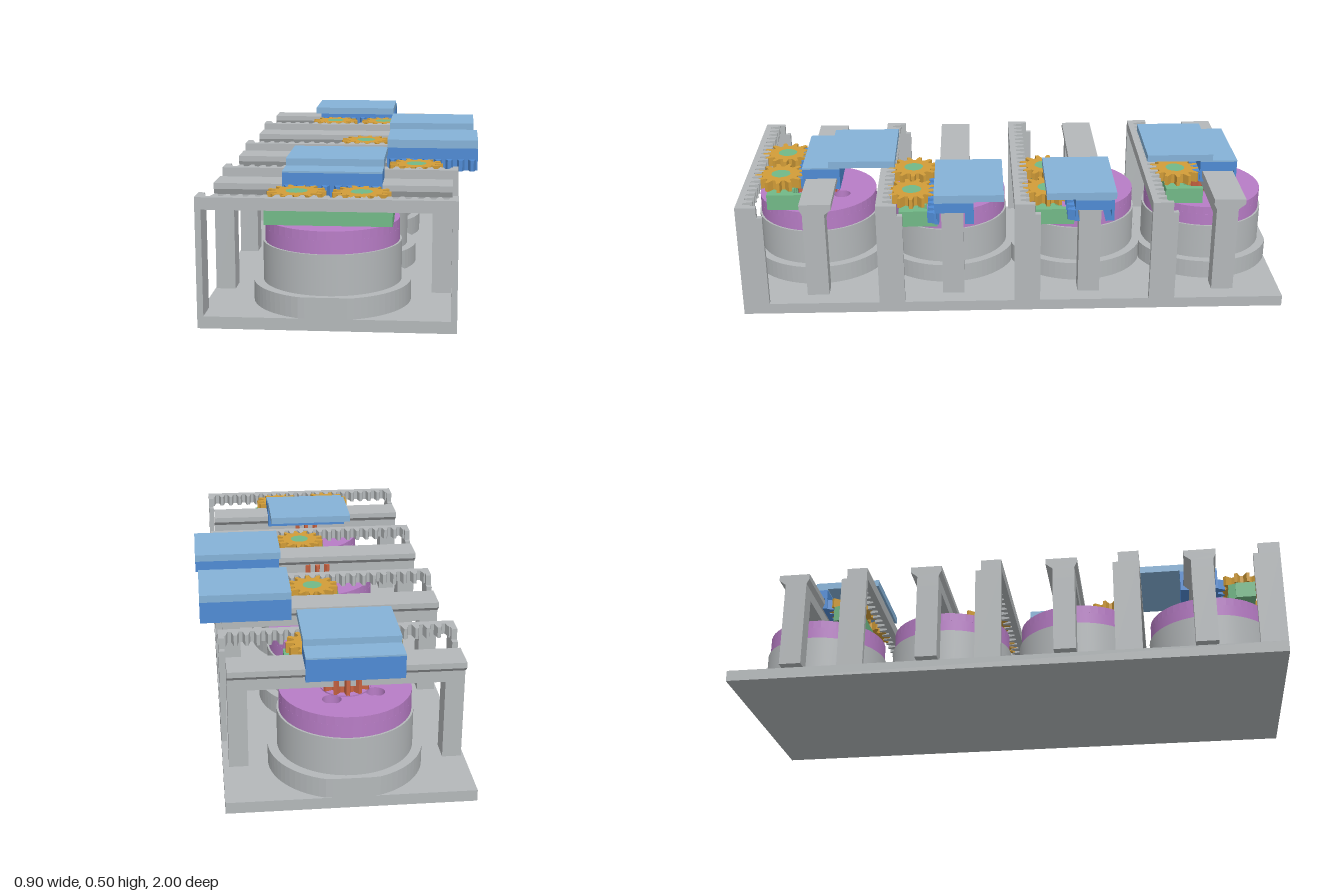
import * as THREE from 'three';

const mat = (name, color) => {
  const m = new THREE.MeshStandardMaterial({ color });
  m.name = name;
  return m;
};

export function createModel() {
  const gray = mat('frame gray', 0xb4b8ba);
  const purple = mat('rotor purple', 0xb87dc6);
  const green = mat('slider green', 0x72b987);
  const gold = mat('gear gold', 0xd29d38);
  const red = mat('pinion red', 0xca6442);
  const blue = mat('carriage blue', 0x4f8bd4);
  const light = mat('plate light blue', 0x85b2d8);

  const root = new THREE.Group();
  root.name = 'rackMechanism';

  const add = (parent, name, geo, material) => {
    const m = new THREE.Mesh(geo, material);
    m.name = name;
    parent.add(m);
    return m;
  };
  // box given by its limits
  const box = (parent, name, material, x0, x1, y0, y1, z0, z1) =>
    add(parent, name, new THREE.BoxGeometry(x1 - x0, y1 - y0, z1 - z0)
      .translate((x0 + x1) / 2, (y0 + y1) / 2, (z0 + z1) / 2), material);
  const outline = (pts) => new THREE.Shape(pts.map(([a, b]) => new THREE.Vector2(a, -b)));
  // outline in x,z raised from y0 to y1
  const slab = (shape, y0, y1) =>
    new THREE.ExtrudeGeometry(shape, { depth: y1 - y0, bevelEnabled: false, curveSegments: 24 })
      .rotateX(-Math.PI / 2).translate(0, y0, 0);
  // z,y profile swept from x0 to x1
  const sweep = (pts, x0, x1) =>
    new THREE.ExtrudeGeometry(new THREE.Shape(pts.map(([z, y]) => new THREE.Vector2(-z, y))),
      { depth: x1 - x0, bevelEnabled: false }).rotateY(Math.PI / 2).translate(x0, 0, 0);
  const hole = (x, z, r) => new THREE.Path().absarc(x, -z, r, 0, Math.PI * 2, true);

  // toothed wheel outline
  const gearShape = (n, rRoot, rTip, bore) => {
    const pts = [];
    for (let i = 0; i < n; i++) {
      for (const [f, r] of [[-0.32, rRoot], [-0.13, rTip], [0.13, rTip], [0.32, rRoot]]) {
        const a = ((i + f) / n) * Math.PI * 2;
        pts.push([r * Math.cos(a), r * Math.sin(a)]);
      }
    }
    const s = outline(pts);
    if (bore) s.holes.push(hole(0, 0, bore));
    return s;
  };
  // toothed bar outline: flat edge at zBack, roots and tips on the other side
  const rackShape = (x0, x1, zBack, zRoot, zTip, pitch = 0.04) => {
    const n = Math.round((x1 - x0) / pitch), p = (x1 - x0) / n;
    const pts = [[x0, zBack], [x0, zRoot]];
    for (let i = 0; i < n; i++) {
      const x = x0 + i * p;
      pts.push([x + p * 0.16, zRoot], [x + p * 0.36, zTip], [x + p * 0.64, zTip], [x + p * 0.84, zRoot]);
    }
    pts.push([x1, zRoot], [x1, zBack]);
    return outline(pts);
  };

  const CX = -0.037; // motor axis
  box(root, 'basePlate', gray, -0.45, 0.38, 0, 0.04, -1, 1);

  const buildUnit = (index, shift, plateZ) => {
    const unit = new THREE.Group();
    unit.name = 'unit' + (index + 1);
    unit.position.z = -0.75 + index * 0.5;
    root.add(unit);

    // motor: flange trimmed to the bay, body and rotor with recessed holes
    const ring = Array.from({ length: 72 }, (_, i) => {
      const a = (i / 72) * Math.PI * 2;
      return [CX + 0.263 * Math.cos(a), THREE.MathUtils.clamp(0.263 * Math.sin(a), -0.25, 0.25)];
    });
    add(unit, 'motorFlange', slab(outline(ring), 0.035, 0.11), gray);
    add(unit, 'motorBody', new THREE.CylinderGeometry(0.231, 0.231, 0.145, 64)
      .translate(CX, 0.1725, 0), gray);
    add(unit, 'rotorBase', new THREE.CylinderGeometry(0.224, 0.224, 0.045, 64)
      .translate(CX, 0.2675, 0), purple);
    const disc = new THREE.Shape().absarc(CX, 0, 0.224, 0, Math.PI * 2, false);
    for (let i = 0; i < 4; i++) {
      const a = -Math.PI / 3 + (i * Math.PI) / 2;
      disc.holes.push(hole(CX + 0.11 * Math.cos(a), 0.11 * Math.sin(a), 0.032));
    }
    add(unit, 'rotorTop', slab(disc, 0.29, 0.32), purple);
    add(unit, 'pinionSeat', new THREE.CylinderGeometry(0.085, 0.085, 0.006, 32)
      .translate(CX, 0.322, 0), purple);
    add(unit, 'pinion', slab(gearShape(12, 0.062, 0.085), 0.324, 0.388), red).position.x = CX;

    // fixed rack on its portal frame
    for (const x of [-0.45, 0.36]) box(unit, 'framePost', gray, x, x + 0.02, 0.04, 0.39, 0.155, 0.25);
    for (const x of [-0.45, 0.36]) box(unit, 'rackEnd', gray, x, x + 0.02, 0.39, 0.43, 0.175, 0.25);
    add(unit, 'fixedRack', slab(rackShape(-0.45, 0.38, 0.25, 0.227, 0.194), 0.39, 0.43), gray);

    // guide bridge with flared rail
    for (const x of [-0.43, 0.295]) box(unit, 'bridgeLeg', gray, x, x + 0.065, 0.065, 0.36, -0.065, 0.015);
    add(unit, 'bridgeRail', sweep([[-0.065, 0.35], [0.015, 0.35], [0.015, 0.39], [0.025, 0.41], [0.025, 0.43],
      [-0.09, 0.43], [-0.09, 0.41], [-0.065, 0.39]], -0.43, 0.36), gray);

    // sliding gear holder
    const slider = new THREE.Group();
    slider.name = 'gearSlider';
    slider.position.x = CX + shift / 2;
    unit.add(slider);
    add(slider, 'sliderRack', slab(rackShape(-0.207, 0.207, 0.17, 0.098, 0.072), 0.325, 0.385), green);
    box(slider, 'sliderStop', green, 0.185, 0.207, 0.325, 0.385, 0.03, 0.1);
    for (const x of [-0.105, 0.105]) {
      add(slider, 'gearHub', new THREE.CylinderGeometry(0.036, 0.036, 0.046, 32)
        .translate(x, 0.407, 0.125), green);
      add(slider, 'gear', slab(gearShape(13, 0.069, 0.096, 0.035), 0.393, 0.43), gold)
        .position.set(x, 0, 0.125);
    }

    // carriage riding on the rail, with a rack and a top plate
    const carriage = new THREE.Group();
    carriage.name = 'carriage';
    carriage.position.x = CX + shift;
    unit.add(carriage);
    add(carriage, 'carriageBody', sweep([[-0.103, 0.39], [-0.072, 0.39], [-0.093, 0.41], [-0.093, 0.433],
      [0.028, 0.433], [0.028, 0.41], [0.02, 0.39], [0.036, 0.39], [0.036, 0.47], [-0.103, 0.47]],
    -0.165, 0.165), blue);
    add(carriage, 'carriageRack', slab(rackShape(-0.165, 0.165, 0.03, 0.037, 0.062), 0.39, 0.43), blue);
    box(carriage, 'carriageCap', light, -0.165, 0.165, 0.47, 0.476, -0.103, 0.036);
    box(carriage, 'topPlate', light, -0.165, 0.165, 0.474, 0.5, plateZ, plateZ + 0.248);
  };

  // back to front: carriage travel and plate offset
  [[-0.023, -0.01], [0.312, -0.11], [0.322, -0.21], [0.002, -0.31]]
    .forEach(([shift, plateZ], i) => buildUnit(i, shift, plateZ));

  return root;
}
